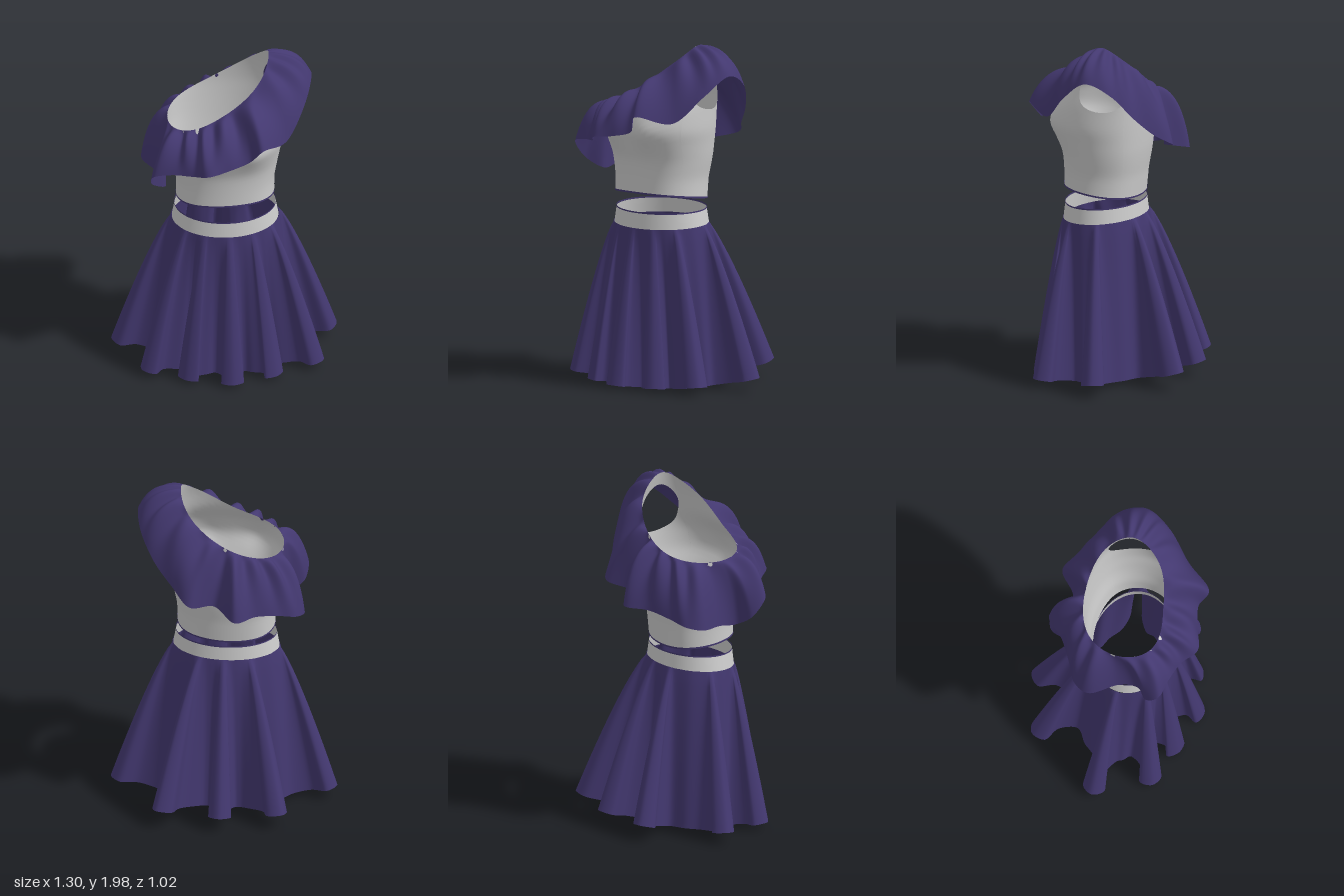
import * as THREE from 'three';

const TAU = Math.PI * 2;
const V = (x, y, z) => new THREE.Vector3(x, y, z);
const mix = THREE.MathUtils.lerp;
const fabric = new THREE.MeshStandardMaterial({ color: 0xcccccc, side: THREE.DoubleSide });
const purple = new THREE.MeshStandardMaterial({ color: 0x433870, side: THREE.DoubleSide });

// Smooth sheet from f(u, v); u runs from +x towards +z, v from bottom to top.
function sheet(name, material, nu, nv, closed, f) {
  const pos = [], index = [], cols = closed ? nu : nu + 1;
  for (let j = 0; j <= nv; j++)
    for (let i = 0; i < cols; i++) pos.push(...f(i / nu, j / nv).toArray());
  for (let j = 0; j < nv; j++)
    for (let i = 0; i < nu; i++) {
      const k = (i + 1) % cols;
      const a = j * cols + i, b = j * cols + k, c = a + cols, d = b + cols;
      index.push(a, c, b, b, c, d);
    }
  const g = new THREE.BufferGeometry();
  g.setAttribute('position', new THREE.Float32BufferAttribute(pos, 3));
  g.setIndex(index);
  g.computeVertexNormals();
  const mesh = new THREE.Mesh(g, material);
  mesh.name = name;
  return mesh;
}

// Body sections: height -> half width, front z, back z
const sections = [
  [1.05, 0.282, 0.31, -0.135], [1.2, 0.283, 0.31, -0.15], [1.32, 0.303, 0.318, -0.17],
  [1.42, 0.32, 0.35, -0.18], [1.5, 0.333, 0.372, -0.185], [1.6, 0.332, 0.35, -0.19],
  [1.72, 0.32, 0.272, -0.19], [1.85, 0.29, 0.235, -0.175], [2.0, 0.25, 0.16, -0.12],
];
const sectionCurve = new THREE.CatmullRomCurve3(sections.map(s => V(s[1], s[2], s[3])));
function body(a, y) {
  let i = 0;
  while (i < sections.length - 2 && y > sections[i + 1][0]) i++;
  const t = (y - sections[i][0]) / (sections[i + 1][0] - sections[i][0]);
  const s = sectionCurve.getPoint(THREE.MathUtils.clamp((i + t) / (sections.length - 1), 0, 1));
  const c = Math.cos(a), n = Math.sin(a);
  // Slightly squared ellipse with a soft bust
  const q = Math.pow(c ** 4 + n ** 4, -0.06);
  const bust = n > 0 ? 0.022 * Math.exp(-(((y - 1.49) / 0.09) ** 2)) *
    Math.exp(-(((Math.abs(c) - 0.45) / 0.25) ** 2)) : 0;
  return V(s.x * c * q, y, (s.y + s.z) / 2 + (s.y - s.z) / 2 * n * q + bust);
}
const neckY = a => 1.765 + 0.19 * Math.cos(a) + 0.03 * Math.cos(2 * a);
const hemY = a => 1.1 + 0.03 * Math.sin(a) + 0.008 * Math.cos(a);

function makeBodice() {
  const g = new THREE.Group();
  g.name = 'bodice';
  // Armhole spans these angles; its corners sit 80% of the way up
  const half = 0.62, shift = -0.16;
  const arm = u => shift + half * Math.sin((u - 0.5) * Math.PI);
  const curve = u => Math.cos((u - 0.5) * Math.PI);
  const corner = a => mix(hemY(a), neckY(a), 0.8);
  g.add(sheet('bodiceBody', fabric, 96, 25, false, (u, v) => {
    const a = shift + half + u * (TAU - 2 * half);
    return body(a, mix(hemY(a), neckY(a), v));
  }));
  g.add(sheet('underarmPanel', fabric, 28, 20, false, (u, v) => {
    const a = arm(u);
    return body(a, mix(hemY(a), corner(a) - 0.185 * curve(u), v));
  }));
  g.add(sheet('shoulderStrap', fabric, 28, 5, false, (u, v) => {
    const a = arm(u);
    return body(a, mix(corner(a) + 0.1 * curve(u), neckY(a), v));
  }));
  g.add(sheet('bodiceHemTrim', purple, 96, 1, true, (u, v) => {
    const a = u * TAU, p = body(a, hemY(a) + (v - 0.5) * 0.01);
    return p.set(p.x * 1.008, p.y, 0.08 + (p.z - 0.08) * 1.01);
  }));
  return g;
}

// Ruffle: outer edge as angle in degrees, x, y, z
const ruffleEdge = [
  [0, 0.5, 1.83, 0.03], [28, 0.45, 1.72, 0.18], [48, 0.34, 1.57, 0.32], [64, 0.2, 1.61, 0.48],
  [80, 0.12, 1.51, 0.44], [95, 0, 1.475, 0.47], [108, -0.12, 1.46, 0.505], [124, -0.21, 1.42, 0.43],
  [140, -0.32, 1.41, 0.39], [152, -0.43, 1.38, 0.36], [163, -0.43, 1.28, 0.28], [173, -0.35, 1.22, 0.21],
  [186, -0.37, 1.23, 0.1],
  [200, -0.47, 1.25, -0.04], [214, -0.44, 1.27, -0.14], [230, -0.34, 1.3, -0.2],
  [242, -0.22, 1.33, -0.28], [254, -0.11, 1.34, -0.385], [268, 0.02, 1.38, -0.28],
  [284, 0.15, 1.42, -0.38], [300, 0.26, 1.5, -0.3], [318, 0.38, 1.62, -0.22], [340, 0.47, 1.76, -0.12],
];
function makeRuffle() {
  const edge = new THREE.CatmullRomCurve3(ruffleEdge.map(e => V(e[1], e[2], e[3])), true, 'catmullrom', 0.5);
  const n = ruffleEdge.length;
  return sheet('neckRuffle', purple, 276, 16, true, (u, v) => {
    const k = Math.floor(u * n), t = u * n - k;
    const next = k + 1 < n ? ruffleEdge[k + 1][0] : 360;
    const a = THREE.MathUtils.degToRad(mix(ruffleEdge[k][0], next, t));
    const top = body(a, neckY(a)), end = edge.getPoint(u);
    const bend = top.clone().lerp(end, 0.74);
    bend.y = top.y - 0.35 * (top.y - end.y) + 0.05;
    const s = 1 - v;
    const p = top.multiplyScalar(v * v).addScaledVector(bend, 2 * v * s).addScaledVector(end, s * s);
    // Gathers that fade towards the free edge, strongest at front and back
    const size = 0.006 + 0.012 * Math.abs(Math.sin(a));
    const gather = size * Math.sin(a * 17 + 2 * Math.sin(3 * a)) * Math.sin(Math.PI * Math.pow(s, 0.6));
    return p.add(V(Math.cos(a) * gather, gather, Math.sin(a) * gather));
  });
}

// Waist ring
const waist = (a, y, grow = 0) =>
  V((0.29 + grow) * Math.cos(a), y, 0.083 + (0.226 + grow * 0.6) * Math.sin(a));
const waistTop = a => 1.022 - 0.01 * Math.sin(a);
const skirtTop = a => 0.94 - 0.015 * Math.sin(a);

function makeWaistband() {
  const g = new THREE.Group();
  g.name = 'waistband';
  g.add(sheet('waistbandBody', fabric, 80, 4, true, (u, v) => {
    const a = u * TAU;
    return waist(a, mix(skirtTop(a) - 0.005, waistTop(a), v), 0.016 * (1 - v));
  }));
  g.add(sheet('waistbandTrim', purple, 80, 1, true, (u, v) =>
    waist(u * TAU, waistTop(u * TAU) + v * 0.008, 0.002)));
  return g;
}

// Skirt: tips of the deep hem folds, x and z
const foldTips = [
  [0.65, -0.06], [0.55, 0.31], [0.28, 0.42], [0.02, 0.505], [-0.25, 0.43],
  [-0.49, 0.34], [-0.65, 0.02], [-0.39, -0.41], [-0.04, -0.51], [0.33, -0.49],
];
// Bulb outline of one fold: sideways offset, reach, angle at the waist
const foldOutline = [
  [-0.065, 0.03, -0.15], [-0.03, 0.42, -0.08], [-0.066, 0.8, -0.03], [0, 1, 0],
  [0.066, 0.8, 0.03], [0.03, 0.42, 0.08], [0.065, 0.03, 0.15],
];
function makeSkirt() {
  const valley = a => V(0.4 * Math.cos(a), 0, 0.04 + 0.29 * Math.sin(a));
  const angle = ([x, z]) => Math.atan2((z - 0.04) / 0.29, x / 0.4);
  const hem = [], top = [];
  foldTips.forEach((tip, i) => {
    const a = angle(tip), base = valley(a);
    const reach = V(tip[0], 0, tip[1]).sub(base);
    const side = V(-reach.z, 0, reach.x).normalize();
    for (const [w, f, da] of foldOutline) {
      hem.push(base.clone().addScaledVector(reach, f).addScaledVector(side, w));
      top.push(waist(a + da, skirtTop(a + da), 0.019));
    }
    let b = angle(foldTips[(i + 1) % foldTips.length]);
    while (b < a) b += TAU;
    const mid = (a + b) / 2;
    hem.push(valley(mid));
    top.push(waist(mid, skirtTop(mid), 0.019));
  });
  hem.forEach(p => { p.y = 0.002 - 0.07 * p.z + 0.26 * p.z * p.z + 0.18 * p.x * p.x; });
  const hemCurve = new THREE.CatmullRomCurve3(hem, true, 'catmullrom', 0.5);
  const topCurve = new THREE.CatmullRomCurve3(top, true, 'catmullrom', 0.5);
  return sheet('skirt', purple, 480, 22, true, (u, v) => {
    const h = hemCurve.getPoint(u), w = topCurve.getPoint(u);
    const s = Math.pow(1 - v, 0.81);
    return V(mix(w.x, h.x, s), mix(h.y, w.y, v), mix(w.z, h.z, s));
  });
}

export function createModel() {
  const model = new THREE.Group();
  model.name = 'twoPieceOutfit';
  model.add(makeBodice(), makeRuffle(), makeWaistband(), makeSkirt());
  return model;
}
